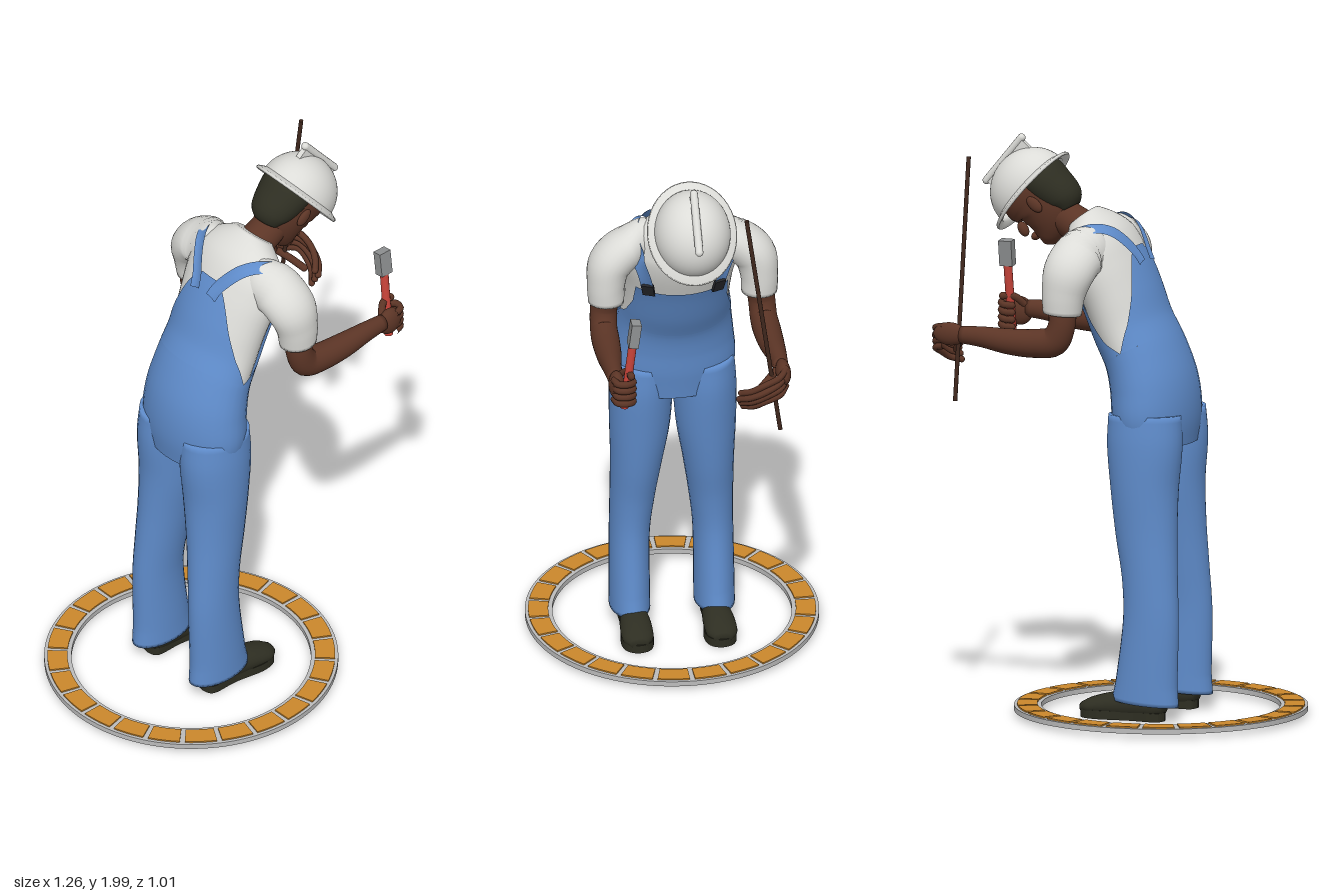
import * as THREE from 'three';
import { mergeVertices } from 'three/addons/utils/BufferGeometryUtils.js';

const V = (x, y, z) => new THREE.Vector3(x, y, z);
const paint = (name, hex, side = THREE.FrontSide) => {
  const m = new THREE.MeshStandardMaterial({ color: hex, side });
  m.name = name;
  return m;
};

// Smooth surface through elliptical sections [x, y, z, depthRadius, sideRadius]
function surface(sections) {
  const centre = new THREE.CatmullRomCurve3(sections.map(s => V(s[0], s[1], s[2])));
  const radii = new THREE.CatmullRomCurve3(sections.map(s => V(s[3], s[4], 0)), false, 'catmullrom', 0.5);
  const n = sections.length - 1;
  const at = (s, angle, grow = 0, scale = 1) => {
    const f = THREE.MathUtils.clamp(s / n, 0, 1);
    const t = centre.getTangent(f), r = radii.getPoint(f);
    const w = V(0, 0, 1).addScaledVector(t, -t.z).normalize();
    const u = t.clone().cross(w);
    return centre.getPoint(f)
      .addScaledVector(u, (r.x + grow) * scale * Math.cos(angle))
      .addScaledVector(w, (r.y + grow) * scale * Math.sin(angle));
  };
  return { at, n };
}

// Grid of points, row by row, turned into a smooth geometry
function grid(rows, cols, point) {
  const pos = [], idx = [];
  for (let i = 0; i <= rows; i++)
    for (let j = 0; j <= cols; j++) pos.push(...point(i, j / cols).toArray());
  for (let i = 0; i < rows; i++)
    for (let j = 0; j < cols; j++) {
      const a = i * (cols + 1) + j, c = a + cols + 1;
      idx.push(a, c, a + 1, a + 1, c, c + 1);
    }
  let g = new THREE.BufferGeometry();
  g.setAttribute('position', new THREE.Float32BufferAttribute(pos, 3));
  g.setIndex(idx);
  g = mergeVertices(g, 1e-5);
  g.computeVertexNormals();
  return g;
}

// Closed body swept through sections
function sweep(sections, cols = 28) {
  const { at, n } = surface(sections), rows = n * 5;
  return grid(rows + 2, cols, (i, f) => {
    const cap = i === 0 || i === rows + 2;
    return at((i - 1) / rows * n, (f * 2 - 1) * Math.PI, 0, cap ? 0 : 1);
  });
}

// Ring sector lying flat, from height y0 to y1
function ringPart(r0, r1, a0, a1, y0, y1) {
  const s = new THREE.Shape();
  const full = a1 - a0 > 6.28;
  s.absarc(0, 0, r1, a0, a1, false);
  if (full) s.holes.push(new THREE.Path().absarc(0, 0, r0, 0, Math.PI * 2, true));
  else s.absarc(0, 0, r0, a1, a0, true);
  const g = new THREE.ExtrudeGeometry(s, { depth: y1 - y0, bevelEnabled: false, curveSegments: full ? 96 : 6 });
  return g.rotateX(-Math.PI / 2).translate(0, y0, 0);
}

export function createModel() {
  const model = new THREE.Group();
  const skin = paint('skin', 0x5c3526), white = paint('white', 0xdcdcd8, THREE.DoubleSide);
  const blue = paint('denim blue', 0x5f8ccb, THREE.DoubleSide), dark = paint('dark olive', 0x2e2e22);
  const orange = paint('brick orange', 0xcb882c), pale = paint('pale grey', 0xbcbcbc);
  const steel = paint('steel grey', 0x8f9192), red = paint('handle red', 0xc9443a);
  const wood = paint('rod brown', 0x3f271d), black = paint('buckle black', 0x25262a);

  const add = (name, geo, mat, parent = model) => {
    const m = new THREE.Mesh(geo, mat);
    m.name = name;
    parent.add(m);
    return m;
  };
  const ball = (name, p, r, mat, parent) => {
    const m = add(name, new THREE.SphereGeometry(1, 24, 16), mat, parent);
    m.position.set(...p);
    m.scale.set(...r);
    return m;
  };
  const bar = (name, a, b, r, mat) => {
    const d = b.clone().sub(a);
    const m = add(name, new THREE.CylinderGeometry(r, r, d.length(), 12), mat);
    m.position.copy(a).addScaledVector(d, 0.5);
    m.quaternion.setFromUnitVectors(V(0, 1, 0), d.normalize());
    return m;
  };
  const finger = (name, pts, r) => {
    const c = new THREE.CatmullRomCurve3(pts.map(p => V(...p)));
    add(name, new THREE.TubeGeometry(c, 16, r, 8), skin);
    ball(name + 'Tip', pts[pts.length - 1], [r, r, r], skin);
  };

  // Ring of bricks around the feet
  const ring = new THREE.Group();
  ring.name = 'brickRing';
  ring.position.x = -0.125;
  model.add(ring);
  add('ringBase', ringPart(0.412, 0.506, 0, Math.PI * 2, 0.014, 0.032), pale, ring);
  for (let i = 0; i < 24; i++) {
    const a = i * Math.PI / 12;
    add('brick', ringPart(0.426, 0.495, a + 0.018, a + Math.PI / 12 - 0.018, 0.03, 0.037), orange, ring);
  }

  // Torso: shirt inside, overalls on top of the same surface
  const torso = [
    [-0.112, 0.95, 0, 0.12, 0.19], [-0.11, 1.05, 0, 0.132, 0.208], [-0.1, 1.15, 0, 0.132, 0.2],
    [-0.07, 1.25, 0, 0.125, 0.188], [-0.02, 1.35, 0, 0.122, 0.182], [0.02, 1.45, 0, 0.122, 0.188],
    [0.065, 1.55, 0, 0.12, 0.2], [0.1, 1.63, 0, 0.108, 0.195], [0.14, 1.685, 0, 0.08, 0.14],
    [0.165, 1.715, 0, 0.058, 0.076]];
  const body = surface(torso);
  add('shirtBody', sweep(torso, 40), white);
  const panel = (name, s0, s1, mid, half) => add(name, grid(24, 32, (i, f) => {
    const s = s0 + (s1 - s0) * i / 24;
    return body.at(s, mid + (f * 2 - 1) * half(s), 0.009);
  }), blue);
  const taper = pts => s => {
    const i = Math.max(0, pts.findIndex(p => p[0] >= s - 1e-6) - 1);
    const [a, b] = [pts[i], pts[i + 1]];
    return THREE.MathUtils.mapLinear(s, a[0], b[0], a[1], b[1]);
  };
  panel('overallsWaist', 0, 3.3, 0, () => Math.PI);
  panel('overallsBib', 3.3, 5.4, 0, taper([[3.3, 1.571], [3.8, 1.25], [4.5, 1.02], [5.4, 0.92]]));
  panel('overallsBack', 3.3, 6.4, Math.PI, taper([[3.3, 1.571], [4, 1.12], [5, 0.72], [6, 0.36], [6.4, 0.2]]));

  for (const side of [1, -1]) {
    // Shoulder strap: a ribbon laid over the torso
    const path = new THREE.CatmullRomCurve3([[5.7, 2.95], [6.4, 2.85], [7, 2.62], [7.5, 2.2], [7.75, 1.57],
      [7.5, 1.05], [7, 0.85], [6, 0.66], [5.3, 0.6]].map(p => V(p[0], p[1] * side, 0)));
    const on = f => { const p = path.getPoint(f); return body.at(p.x, p.y, 0.014); };
    add('strap', grid(48, 4, (i, f) => {
      const k = i / 48, p = path.getPoint(k);
      const along = on(Math.min(1, k + 0.01)).sub(on(Math.max(0, k - 0.01)));
      const out = body.at(p.x, p.y + 0.02, 0).sub(body.at(p.x, p.y - 0.02, 0))
        .cross(body.at(p.x + 0.05, p.y, 0).sub(body.at(p.x - 0.05, p.y, 0))).normalize();
      const across = along.cross(out).normalize();
      const q = f * 2 - 1;
      return on(k).addScaledVector(across, q * 0.023).addScaledVector(out, -0.005 * q * q);
    }), blue);
    const buckle = add('buckle', new THREE.BoxGeometry(0.012, 0.05, 0.042), black);
    buckle.position.copy(body.at(5.6, 0.61 * side, 0.018));
    buckle.rotation.set(0, -0.4 * side, -0.4);

    // Trouser leg
    add('trouserLeg', sweep([
      [-0.13, 0.06, 0.147, 0.122, 0.07], [-0.135, 0.13, 0.147, 0.112, 0.07], [-0.15, 0.35, 0.145, 0.1, 0.07],
      [-0.142, 0.5, 0.136, 0.1, 0.078], [-0.125, 0.65, 0.125, 0.11, 0.09], [-0.114, 0.8, 0.115, 0.12, 0.105],
      [-0.112, 0.95, 0.11, 0.134, 0.11], [-0.11, 1.06, 0.105, 0.13, 0.106]]
      .map(([x, y, z, a, b]) => [x, y, z * side, a, b])), blue);

    // Shoe: rounded upper on a flat sole
    add('shoeUpper', sweep([[-0.2, 0.045, 0.142, 0.025, 0.03], [-0.17, 0.05, 0.142, 0.045, 0.045],
      [-0.08, 0.05, 0.142, 0.05, 0.047], [0.0, 0.045, 0.144, 0.043, 0.055], [0.07, 0.036, 0.146, 0.031, 0.053],
      [0.105, 0.031, 0.146, 0.018, 0.03]].map(([x, y, z, a, b]) => [x, y, z * side, a, b])), dark);
    const outline = new THREE.Shape(new THREE.SplineCurve([[-0.2, 0], [-0.18, 0.038], [-0.08, 0.04], [0.03, 0.056],
      [0.09, 0.042], [0.11, 0], [0.09, -0.042], [0.03, -0.056], [-0.08, -0.04], [-0.18, -0.038], [-0.2, 0]]
      .map(p => new THREE.Vector2(...p))).getPoints(50));
    const sole = add('shoeSole', new THREE.ExtrudeGeometry(outline, { depth: 0.03, bevelEnabled: false }).rotateX(-Math.PI / 2), dark);
    sole.position.z = 0.144 * side;

    // Sleeve and bare arm
    add('sleeve', sweep([[0.08, 1.62, 0.1, 0.09, 0.07], [0.1, 1.61, 0.19, 0.092, 0.075],
      [0.113, 1.56, 0.25, 0.09, 0.075], [0.125, 1.49, 0.266, 0.077, 0.066], [0.13, 1.42, 0.266, 0.068, 0.062]]
      .map(([x, y, z, a, b]) => [x, y, z * side, a, b])), white);
    add('arm', sweep([[0.13, 1.45, 0.266, 0.05, 0.048], [0.128, 1.38, 0.275, 0.047, 0.047],
      [0.155, 1.325, 0.278, 0.052, 0.047], [0.22, 1.312, 0.28, 0.05, 0.048], [0.32, 1.312, 0.283, 0.045, 0.043],
      [0.42, 1.322, 0.287, 0.036, 0.033], [0.5, 1.325, 0.288, 0.03, 0.026]]
      .map(([x, y, z, a, b]) => [x, y, z * side, a, b])), skin);
  }

  // Closed fist with hammer
  ball('fistPalm', [0.53, 1.315, 0.287], [0.048, 0.05, 0.028], skin);
  for (let i = 0; i < 4; i++) {
    const y = 1.345 - i * 0.025;
    finger('fistFinger', [[0.545, y, 0.3], [0.58, y, 0.288], [0.587, y, 0.258], [0.567, y - 0.004, 0.235], [0.54, y - 0.006, 0.24]], 0.0125);
  }
  finger('fistThumb', [[0.505, 1.34, 0.275], [0.535, 1.37, 0.25], [0.575, 1.37, 0.243]], 0.013);
  bar('hammerHandle', V(0.548, 1.235, 0.264), V(0.553, 1.5, 0.233), 0.015, red);
  const head = add('hammerHead', new THREE.BoxGeometry(0.048, 0.09, 0.034), steel);
  head.position.set(0.553, 1.525, 0.229);
  head.rotation.x = -0.13;

  // Open hand curling round the rod
  ball('openPalm', [0.54, 1.325, -0.29], [0.062, 0.04, 0.026], skin);
  for (let i = 0; i < 4; i++) {
    const d = i * 0.023, m = Math.abs(i - 1) * 0.008;
    finger('openFinger', [[0.56, 1.352 - d, -0.298], [0.604, 1.34 - d, -0.27], [0.618 - m, 1.315 - d, -0.215],
      [0.604 - m, 1.287 - d * 0.9, -0.165 - m], [0.575 - m, 1.268 - d * 0.8, -0.133 - m]], 0.0115);
  }
  finger('openThumb', [[0.505, 1.315, -0.272], [0.535, 1.285, -0.23], [0.56, 1.255, -0.19]], 0.013);
  bar('rod', V(0.525, 1.09, -0.282), V(0.525, 1.925, -0.165), 0.0075, wood);

  // Neck and bowed head, built upright then tilted forward
  add('neck', sweep([[0.12, 1.65, 0, 0.07, 0.07], [0.2, 1.69, 0, 0.062, 0.064], [0.29, 1.745, 0, 0.06, 0.062]]), skin);
  const top = new THREE.Group();
  top.name = 'head';
  top.position.set(0.36, 1.795, 0);
  top.rotation.z = -0.877;
  model.add(top);
  add('face', sweep([[0.098, -0.168, 0, 0.02, 0.025], [0.078, -0.155, 0, 0.045, 0.045], [0.04, -0.125, 0, 0.085, 0.068],
    [0.01, -0.085, 0, 0.112, 0.083], [0, -0.04, 0, 0.125, 0.09], [0, 0, 0, 0.128, 0.093], [0, 0.05, 0, 0.11, 0.085]]), skin, top);
  add('hair', sweep([[-0.05, -0.145, 0, 0.035, 0.05], [-0.062, -0.11, 0, 0.064, 0.076], [-0.062, -0.05, 0, 0.075, 0.094],
    [-0.06, 0, 0, 0.08, 0.099], [-0.05, 0.04, 0, 0.075, 0.09]]), dark, top);
  const nose = ball('nose', [0.128, -0.065, 0], [0.018, 0.028, 0.018], skin, top);
  nose.rotation.z = 0.35;
  ball('lips', [0.112, -0.115, 0], [0.016, 0.014, 0.028], skin, top);
  for (const side of [1, -1]) ball('ear', [-0.005, -0.06, 0.092 * side], [0.02, 0.034, 0.012], skin, top);

  // Hard hat: dome, brim and crest
  const dome = add('hatDome', new THREE.SphereGeometry(1, 40, 16, 0, Math.PI * 2, 0, Math.PI / 2), white, top);
  dome.scale.set(0.152, 0.142, 0.132);
  const brim = add('hatBrim', new THREE.LatheGeometry([[0.82, 0.012], [0.98, 0], [1, -0.006], [0.98, -0.012], [0.82, -0.004], [0.82, 0.012]]
    .reverse().map(p => new THREE.Vector2(...p)), 48), white, top);
  brim.scale.set(0.183, 1, 0.156);
  const crest = add('hatCrest', new THREE.CapsuleGeometry(0.014, 0.205, 6, 12), white, top);
  crest.rotation.z = Math.PI / 2;
  crest.position.set(-0.01, 0.144, 0);
  const web = add('hatCrestWeb', new THREE.BoxGeometry(0.2, 0.05, 0.02), white, top);
  web.position.set(-0.01, 0.118, 0);

  return model;
}
